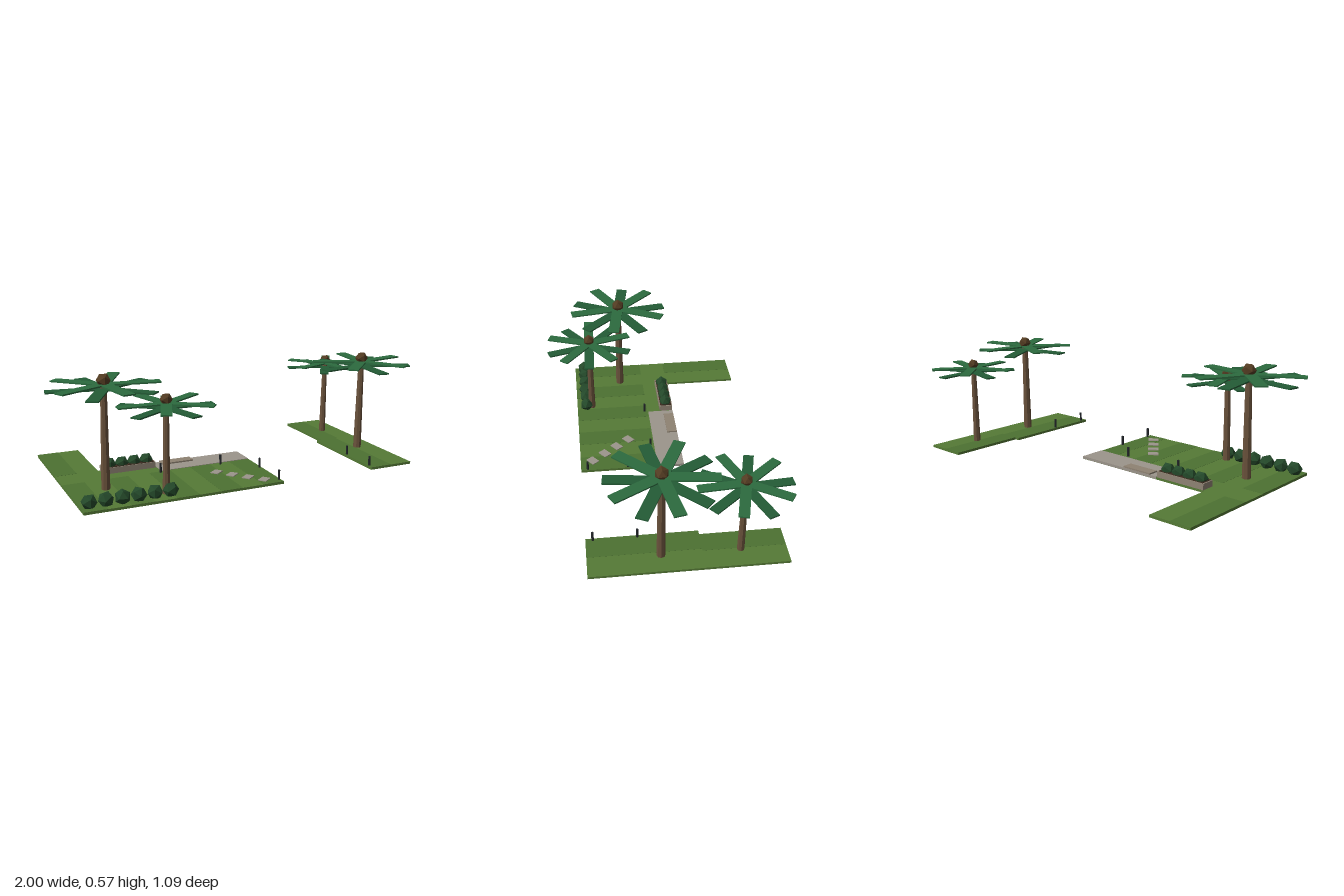
import * as THREE from 'three';

const mat = (color) => new THREE.MeshStandardMaterial({ color, flatShading: true });
const M = {
  grass: mat(0x557a36), stripe: mat(0x4d7232), stone: mat(0x9c958b), planter: mat(0x8f8373),
  soil: mat(0x3a2a1e), bark: mat(0x6a523c), nut: mat(0x533c22), frond: mat(0x2c6b3f),
  frondDark: mat(0x245c36), bush: mat(0x24492a), metal: mat(0x22262a),
};

function add(parent, name, geometry, material, x, y, z) {
  const mesh = new THREE.Mesh(geometry, material);
  mesh.name = name;
  mesh.position.set(x, y, z);
  parent.add(mesh);
  return mesh;
}

// Box given by its extents
function slab(parent, name, material, x0, x1, y0, y1, z0, z1) {
  return add(parent, name, new THREE.BoxGeometry(x1 - x0, y1 - y0, z1 - z0), material,
    (x0 + x1) / 2, (y0 + y1) / 2, (z0 + z1) / 2);
}

// Palm: slightly leaning tapered trunk, nut cluster, ten flat fronds in two layers
function palm(x, z, height, length, startDeg) {
  const g = new THREE.Group();
  g.name = 'palm';
  const r = length * 0.083;
  const trunk = new THREE.CylinderGeometry(r * 0.7, r, height, 8, 3);
  const p = trunk.attributes.position;
  for (let i = 0; i < p.count; i++) p.setX(i, p.getX(i) + (p.getY(i) / height - 0.5) * 0.008);
  add(g, 'trunk', trunk, M.bark, x, 0.01 + height / 2, z);
  add(g, 'nutCluster', new THREE.IcosahedronGeometry(length * 0.133, 0), M.nut, x, height + 0.01, z);
  for (let i = 0; i < 10; i++) {
    const geo = new THREE.BoxGeometry(length, 0.007, length * 0.22);
    geo.translate(length / 2, 0, 0);
    const upper = i % 2 === 0;
    const frond = add(g, 'frond', geo, upper ? M.frond : M.frondDark, x, height - (upper ? 0.009 : 0.03), z);
    frond.rotation.y = -THREE.MathUtils.degToRad(startDeg + i * 36);
  }
  return g;
}

export function createModel() {
  const root = new THREE.Group();
  root.name = 'garden';

  // Lawns with mown stripes
  const lawns = [
    [-0.92, -0.70, -0.545, -0.145, 2], [-0.92, 0.08, -0.145, 0.40, 9],
    [0.615, 0.835, -0.545, -0.145, 2], [0.59, 0.835, -0.145, 0.40, 2],
  ];
  for (const [x0, x1, z0, z1, n] of lawns) {
    slab(root, 'lawn', M.grass, x0, x1, 0, 0.012, z0, z1);
    const w = (x1 - x0) / n;
    const front = z0 > -0.5 && x0 < 0 ? 0 : z0;
    for (let i = 0; i < n; i += 2) {
      slab(root, 'lawnStripe', M.stripe, x0 + i * w, x0 + (i + 1) * w, 0.011, 0.0128, front, z1);
    }
  }

  // Terrace, step and stepping stones
  slab(root, 'terrace', M.stone, -0.41, 0.081, 0.001, 0.0145, -0.146, -0.005);
  slab(root, 'step', M.planter, -0.37, -0.2, 0.012, 0.022, -0.145, -0.09);
  for (let i = 0; i < 4; i++) {
    const s = add(root, 'steppingStone', new THREE.BoxGeometry(0.055, 0.006, 0.043), M.stone,
      -0.163 + i * 0.0555, 0.0135, 0.132 + i * 0.068);
    s.rotation.y = 0.66;
  }

  // Planter with bushes
  slab(root, 'planter', M.planter, -0.69, -0.415, 0.005, 0.043, -0.145, -0.072);
  slab(root, 'planterSoil', M.soil, -0.683, -0.422, 0.04, 0.0455, -0.14, -0.077);
  for (let i = 0; i < 4; i++) {
    add(root, 'planterBush', new THREE.IcosahedronGeometry(0.036, 0), M.bush, -0.65 + i * 0.065, 0.052, -0.108);
  }

  // Hedge along the front edge
  for (let i = 0; i < 6; i++) {
    const b = add(root, 'hedgeBush', new THREE.IcosahedronGeometry(0.039, 0), M.bush, -0.88 + i * 0.078, 0.039, 0.346);
    b.rotation.y = i * 0.7;
  }

  // Bollard lights
  for (const [x, z] of [[-0.42, 0.016], [-0.09, 0.016], [0.07, 0.152], [0.07, 0.365], [0.6, 0.152], [0.6, 0.365]]) {
    add(root, 'bollard', new THREE.CylinderGeometry(0.006, 0.006, 0.052, 8), M.metal, x, 0.036, z);
  }

  // Palms: x, z, height, frond length, first frond angle
  root.add(
    palm(-0.733, 0.135, 0.53, 0.268, 9),
    palm(-0.493, 0.315, 0.455, 0.231, 38),
    palm(0.738, 0.052, 0.505, 0.26, -11),
    palm(0.738, -0.326, 0.432, 0.221, 14),
  );
  return root;
}
